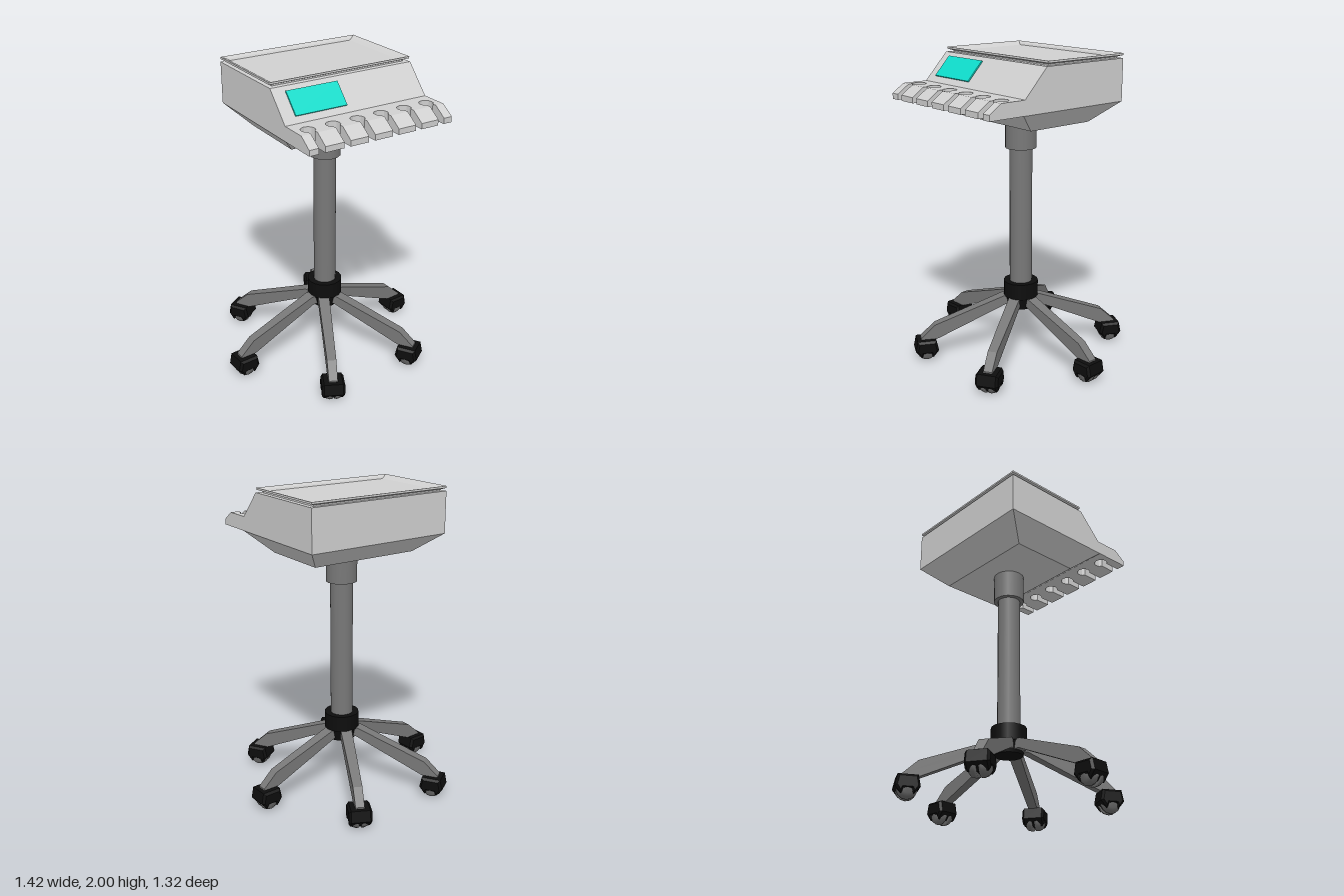
import * as THREE from 'three';

const mat = (name, color, extra = {}) => Object.assign(new THREE.MeshStandardMaterial({ color, ...extra }), { name });

export function createModel() {
  const root = new THREE.Group();
  root.name = 'instrumentCart';
  const shell = mat('light grey shell', 0xd0d0d0);
  const metal = mat('mid grey metal', 0x787878);
  const black = mat('black plastic', 0x0d0d0d);
  const teal = mat('teal display', 0x0fdccb);

  const add = (name, geo, material, parent = root) => {
    const m = new THREE.Mesh(geo, material);
    m.name = name;
    parent.add(m);
    return m;
  };
  const shapeOf = pts => new THREE.Shape(pts.map(p => new THREE.Vector2(...p)));
  const extrude = (shape, depth, opts = {}) =>
    new THREE.ExtrudeGeometry(shape, { depth, bevelEnabled: false, curveSegments: 8, ...opts });
  // Side profile of [z, y] points extruded from x0 to x1
  const sideExtrude = (pts, x0, x1) =>
    extrude(shapeOf(pts.map(([z, y]) => [-z, y])), x1 - x0).rotateY(Math.PI / 2).translate(x0, 0, 0);
  // Stack of rectangles [x0, x1, z0, z1, y] joined into a closed faceted solid
  const loftRects = rects => {
    const pos = [];
    const rings = rects.map(([x0, x1, z0, z1, y]) => [[x0, y, z1], [x1, y, z1], [x1, y, z0], [x0, y, z0]]);
    const quad = (a, b, c, d) => pos.push(...a, ...b, ...c, ...a, ...c, ...d);
    for (let i = 0; i + 1 < rings.length; i++)
      for (let j = 0; j < 4; j++) {
        const k = (j + 1) % 4;
        quad(rings[i][j], rings[i][k], rings[i + 1][k], rings[i + 1][j]);
      }
    quad(...rings[rings.length - 1]);
    quad(...[...rings[0]].reverse());
    const g = new THREE.BufferGeometry();
    g.setAttribute('position', new THREE.Float32BufferAttribute(pos, 3));
    g.computeVertexNormals();
    return g;
  };

  // Console body with sloping front
  const L = -0.475, R = 0.495, back = -0.4;
  add('consoleBody', sideExtrude(
    [[back, 1.71], [back, 1.97], [0.21, 1.97], [0.37, 1.8], [0.37, 1.71]].reverse(), L, R), shell);
  add('consoleUnderside', loftRects([[-0.35, 0.37, -0.24, 0.22, 1.585], [L, R, back, 0.38, 1.71]]), shell);

  // Top tray: narrow neck, flared rim, sunken floor
  const ring = (dx, dz, y) => [L + dx, R - dx, back + dz, 0.2 - dz, y];
  add('topTray', loftRects([
    ring(0.03, 0.025, 1.968), ring(0.03, 0.025, 1.978), ring(0, 0, 1.988), ring(0, 0, 2),
    ring(0.006, 0.006, 2), ring(0.03, 0.025, 1.99), ring(0.05, 0.032, 1.978)]), shell);

  // Display on the slope
  const display = add('display', new THREE.BoxGeometry(0.34, 0.156, 0.009), teal);
  display.position.set(-0.225, 1.894, 0.296);
  display.rotation.x = -Math.atan2(0.16, 0.17);

  // Holder shelf: plate with keyhole openings, then sloping teeth between the slots
  const holes = Array.from({ length: 6 }, (_, i) => -0.394 + i * 0.1622);
  const slot = 0.021, rad = 0.043, cz = 0.475, fold = 0.54, front = 0.62;
  const open = Math.asin(slot / rad);
  const plate = [[L, 0.37], [L, fold]];
  for (const x of holes) {
    plate.push([x - slot, fold]);
    for (let i = 0; i <= 10; i++) {
      const a = open + (i / 10) * 2 * (Math.PI - open);
      plate.push([x - rad * Math.sin(a), cz + rad * Math.cos(a)]);
    }
    plate.push([x + slot, fold]);
  }
  plate.push([R, fold], [R, 0.37]);
  // Plan is drawn in x and z, extruded along y
  add('holderShelf', extrude(shapeOf(plate.map(([x, z]) => [x, -z])), 0.09)
    .rotateX(-Math.PI / 2).translate(0, 1.71, 0), shell);
  for (let i = 0; i <= holes.length; i++) {
    const x0 = i ? holes[i - 1] + slot : L;
    const x1 = i < holes.length ? holes[i] - slot : R;
    add('shelfTooth', sideExtrude([[fold, 1.71], [front, 1.71], [front, 1.745], [fold, 1.8]], x0, x1), shell);
  }

  // Column, sleeve and hub
  const cyl = (name, rt, rb, y0, y1, m) =>
    add(name, new THREE.CylinderGeometry(rt, rb, y1 - y0, 16).translate(0.018, (y0 + y1) / 2, 0), m);
  cyl('columnSleeve', 0.1, 0.1, 1.4, 1.59, metal);
  cyl('column', 0.073, 0.073, 0.45, 1.45, metal);
  cyl('hub', 0.113, 0.113, 0.4, 0.505, black);
  cyl('hubLower', 0.105, 0.09, 0.325, 0.4, black);

  // Leg: bent profile, narrowing outwards
  const legGeo = extrude(shapeOf([
    [0.04, 0.345], [0.1, 0.345], [0.55, 0.145], [0.6, 0.13], [0.665, 0.135],
    [0.665, 0.152], [0.57, 0.24], [0.11, 0.405], [0.04, 0.405]]), 1).translate(0, 0, -0.5);
  const lp = legGeo.attributes.position;
  for (let i = 0; i < lp.count; i++) lp.setZ(i, lp.getZ(i) * (0.076 - 0.03 * lp.getX(i)));
  legGeo.computeVertexNormals();

  // Caster hood, open underneath around the wheels
  const bevel = 0.014;
  const hoodGeo = extrude(shapeOf([
    [-0.04, 0.045], [-0.032, 0.066], [0.032, 0.066], [0.04, 0.045],
    [0.061, 0.075], [0.05, 0.128], [-0.05, 0.128], [-0.061, 0.075]]), 0.118,
  { bevelEnabled: true, bevelSize: bevel, bevelThickness: bevel, bevelSegments: 1 }).translate(0, 0, -0.059);
  // Wheel lobe, rounded towards its outer side
  const wheelGeo = new THREE.LatheGeometry(
    [[0, 0], [0.062, 0], [0.064, 0.015], [0.055, 0.04], [0.036, 0.055], [0, 0.062]]
      .map(p => new THREE.Vector2(...p)).reverse(), 14).rotateX(Math.PI / 2);
  wheelGeo.computeBoundingBox();
  const wheelMat = mat('grey wheel', 0x6c6c6c, { side: THREE.DoubleSide });

  for (let i = 0; i < 6; i++) {
    const arm = new THREE.Group();
    arm.name = 'baseArm';
    arm.rotation.y = THREE.MathUtils.degToRad(3.5 + 60 * i);
    root.add(arm);
    add('leg', legGeo, metal, arm);
    const caster = new THREE.Group();
    caster.name = 'caster';
    caster.position.x = 0.63;
    arm.add(caster);
    add('casterHood', hoodGeo, black, caster);
    add('casterRib', new THREE.BoxGeometry(0.07, 0.07, 0.014).translate(0, 0.06, 0), black, caster);
    for (const s of [0, Math.PI]) {
      const wheel = add('wheel', wheelGeo, wheelMat, caster);
      wheel.rotation.y = s;
      wheel.position.set(0, 0.064, s ? -0.007 : 0.007);
    }
  }
  return root;
}
